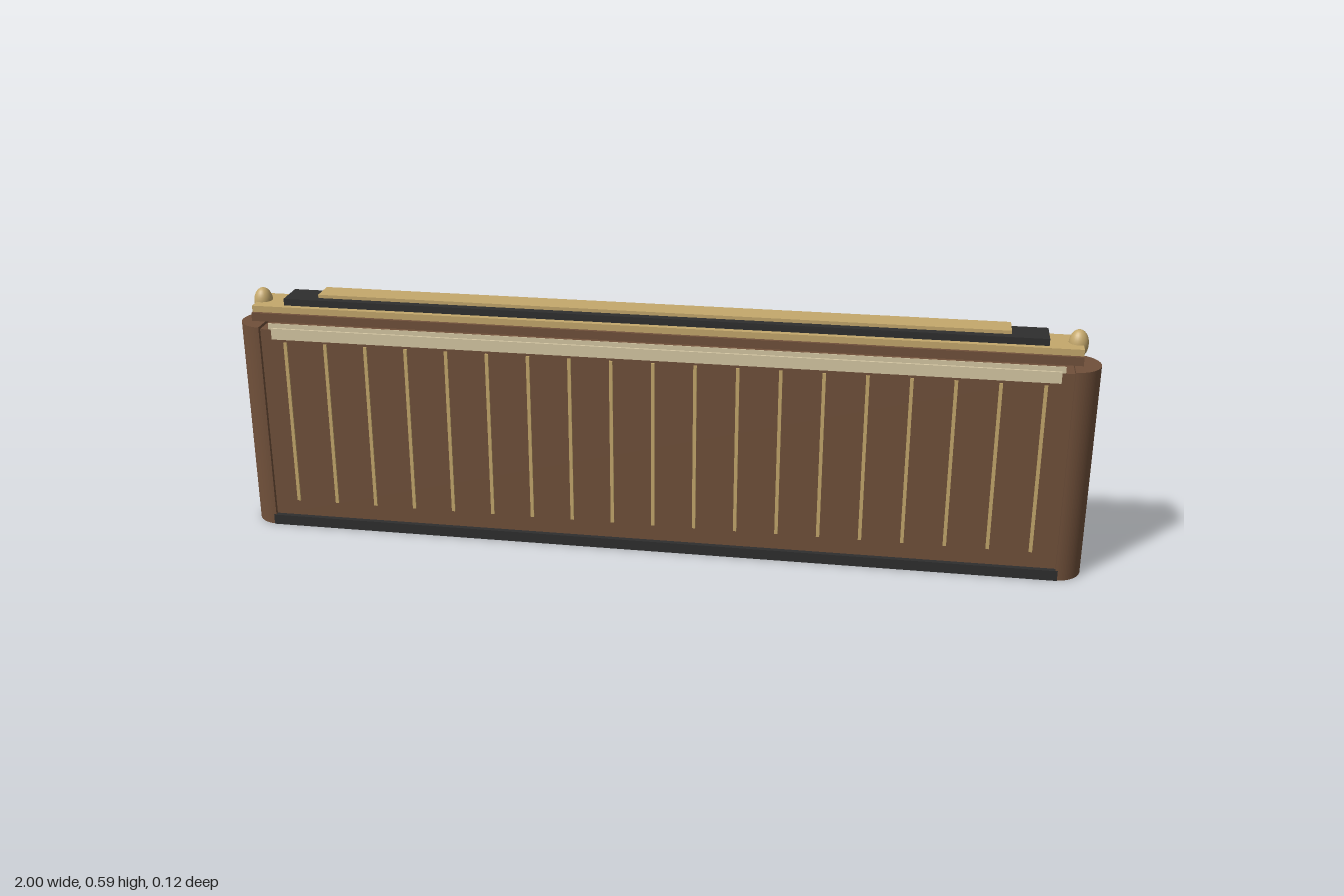
import * as THREE from 'three';

const paint = (color) => new THREE.MeshStandardMaterial({ color });

export function createModel() {
  const model = new THREE.Group();
  const brown = paint(0x70503a);
  const gold = paint(0xc4a86c);
  const dark = paint(0x2e2e2e);
  const pale = paint(0xd6c8a4);

  const add = (name, geometry, material, x = 0, y = 0, z = 0) => {
    const mesh = new THREE.Mesh(geometry, material);
    mesh.name = name;
    mesh.position.set(x, y, z);
    model.add(mesh);
    return mesh;
  };

  // Box given by half width, bottom, top and half depth
  const slab = (name, material, hx, y0, y1, hz, z = 0) =>
    add(name, new THREE.BoxGeometry(hx * 2, y1 - y0, hz * 2), material, 0, (y0 + y1) / 2, z);

  // Plinth and wall
  slab('plinth', dark, 0.945, 0, 0.025, 0.062);
  slab('wall', brown, 0.942, 0.02, 0.505, 0.05);

  // Half-round end posts
  for (const side of [-1, 1]) {
    const outline = new THREE.Shape();
    outline.absarc(0, 0, 0.06, -Math.PI / 2, Math.PI / 2, false);
    outline.closePath();
    const post = new THREE.ExtrudeGeometry(outline, { depth: 0.512, bevelEnabled: false, curveSegments: 24 });
    post.rotateX(-Math.PI / 2);
    if (side < 0) post.rotateY(Math.PI);
    add('endPost', post, brown, side * 0.94, 0, 0);
  }

  // Vertical inlays, bright band and thin upper rail on both faces
  const inlay = new THREE.BoxGeometry(0.008, 0.41, 0.006);
  for (const face of [-1, 1]) {
    for (let i = 0; i < 19; i++) {
      add('inlay', inlay, gold, -0.88 + (i * 1.76) / 18, 0.27, face * 0.051);
    }
    slab('band', pale, 0.912, 0.482, 0.509, 0.003, face * 0.051);
    slab('upperRail', pale, 0.92, 0.49, 0.52, 0.001, face * 0.048);
  }

  // Stepped lid hovering above the wall
  slab('lidBase', brown, 0.955, 0.527, 0.547, 0.057);
  slab('lidTrim', gold, 0.955, 0.547, 0.562, 0.049);
  slab('lidStep', dark, 0.88, 0.563, 0.579, 0.038);
  slab('lidTop', gold, 0.797, 0.583, 0.591, 0.03);

  // Egg-shaped finials
  const egg = new THREE.SphereGeometry(1, 24, 16);
  egg.scale(0.022, 0.033, 0.022);
  for (const side of [-1, 1]) add('finial', egg, gold, side * 0.945, 0.559, 0);

  return model;
}
